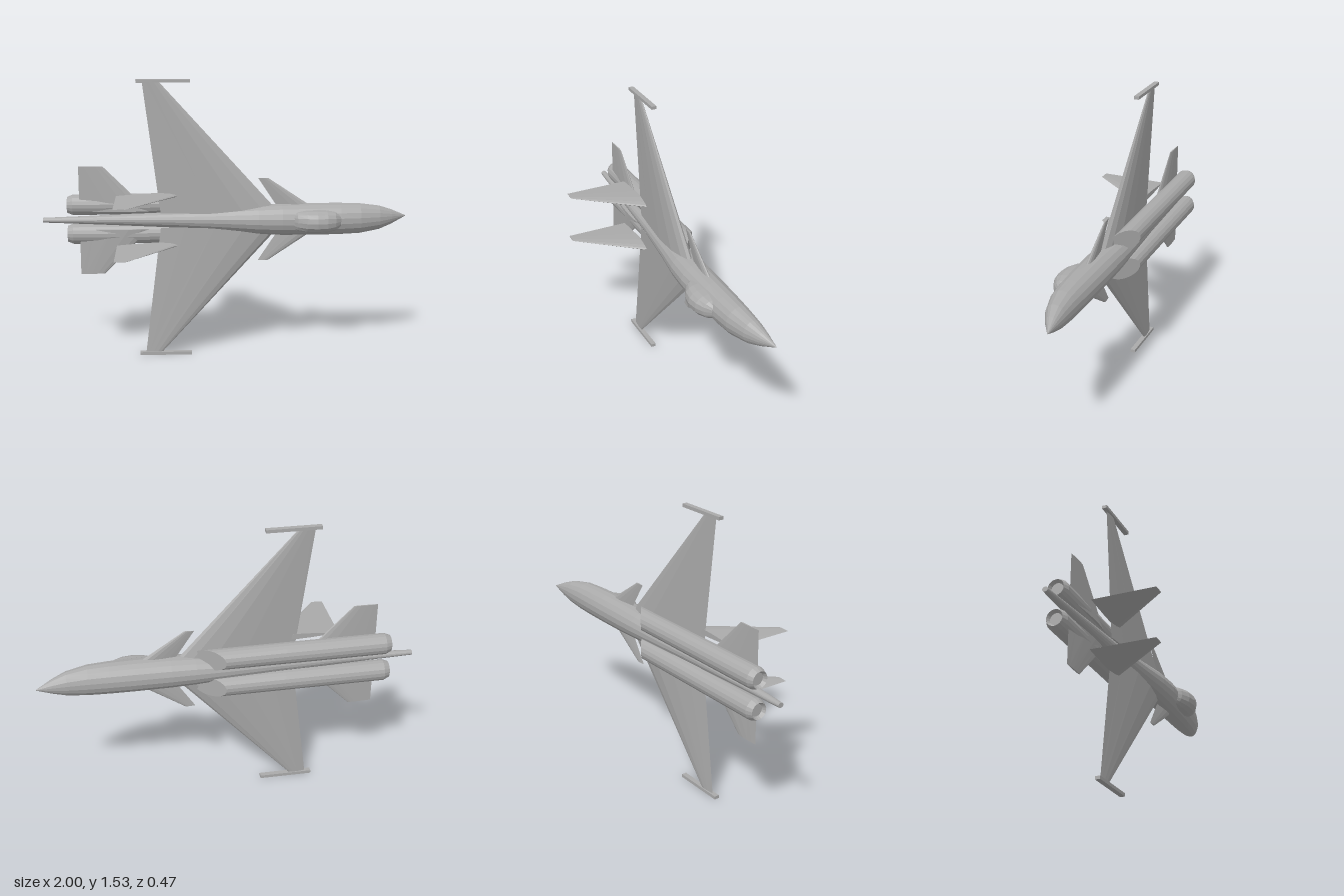
import * as THREE from 'three';

const CY = 0.766; // height of the plane's centre line; nose +x, upper side +z
const V = (x, y, z) => new THREE.Vector3(x, y, z);

// Skin a list of equal-sized rings and cap both ends; winding is fixed by volume sign
function loft(rings) {
  const tris = [];
  const n = rings[0].length;
  for (let i = 0; i < rings.length - 1; i++) {
    for (let j = 0; j < n; j++) {
      const k = (j + 1) % n;
      const a = rings[i][j], b = rings[i][k], c = rings[i + 1][k], d = rings[i + 1][j];
      tris.push([a, b, c], [a, c, d]);
    }
  }
  const cap = (ring, flip) => {
    const mid = ring.reduce((s, p) => s.add(p), V(0, 0, 0)).divideScalar(n);
    for (let j = 0; j < n; j++) {
      const a = ring[j], b = ring[(j + 1) % n];
      tris.push(flip ? [mid, b, a] : [mid, a, b]);
    }
  };
  cap(rings[0], true);
  cap(rings[rings.length - 1], false);
  const centre = rings[0][0];
  let volume = 0;
  for (const [a, b, c] of tris) {
    volume += a.clone().sub(centre).dot(b.clone().sub(centre).cross(c.clone().sub(centre)));
  }
  const points = tris.flatMap(([a, b, c]) => (volume < 0 ? [a, c, b] : [a, b, c]));
  const geo = new THREE.BufferGeometry().setFromPoints(points);
  geo.computeVertexNormals();
  return geo;
}

// Oval cross-section across x; power under 1 makes it boxier, slant shears it along x
function oval(x, y, z, ry, rz, sides = 18, power = 1, slant = 0) {
  const bulge = (v) => Math.sign(v) * Math.abs(v) ** power;
  return Array.from({ length: sides }, (_, i) => {
    const t = (i / sides) * Math.PI * 2;
    const s = bulge(Math.sin(t));
    return V(x + slant * s, y + ry * bulge(Math.cos(t)), z + rz * s);
  });
}

// Aerofoil outline: fraction of chord from the leading edge, fraction of half thickness
const FOIL = [[0, 0], [0.03, 0.4], [0.12, 0.8], [0.3, 1], [0.55, 0.78], [0.8, 0.38],
  [1, 0.03], [0.8, -0.38], [0.55, -0.78], [0.3, -1], [0.12, -0.8], [0.03, -0.4]];

// Section of a flying surface; place(x, offset) puts it in space
const foil = (lead, trail, thick, place) =>
  FOIL.map(([f, h]) => place(lead + (trail - lead) * f, (h * thick) / 2));

export function createModel() {
  const model = new THREE.Group();
  model.name = 'jetAircraft';
  const grey = new THREE.MeshStandardMaterial({ color: 0xaaaaaa });
  grey.name = 'airframe grey';
  grey.flatShading = true;
  const add = (name, geo) => {
    const mesh = new THREE.Mesh(geo, grey);
    mesh.name = name;
    model.add(mesh);
    return mesh;
  };

  // Fuselage: x, half width, lower z, upper z
  const body = [
    [-1, 0.013, -0.17, -0.14], [-0.74, 0.023, -0.175, -0.122], [-0.28, 0.044, -0.185, -0.09],
    [0, 0.064, -0.198, -0.059], [0.17, 0.08, -0.204, -0.036], [0.3, 0.086, -0.206, -0.028],
    [0.49, 0.088, -0.205, -0.034], [0.62, 0.087, -0.203, -0.042], [0.73, 0.083, -0.2, -0.055],
    [0.84, 0.066, -0.196, -0.088], [0.91, 0.041, -0.191, -0.124], [0.995, 0.002, -0.182, -0.178],
  ];
  add('fuselage', loft(body.map(([x, w, lo, hi]) => oval(x, CY, (lo + hi) / 2, w, (hi - lo) / 2))));

  // Canopy: x, half width, top z
  const glass = [[0.345, 0.035, -0.05], [0.38, 0.054, -0.012], [0.43, 0.061, 0.014],
    [0.485, 0.062, 0.024], [0.54, 0.06, 0.016], [0.585, 0.052, -0.006], [0.617, 0.032, -0.04]];
  add('canopy', loft(glass.map(([x, w, top]) => oval(x, CY, -0.065, w, top + 0.065, 16, 0.85))));

  for (const side of [1, -1]) {
    const label = side > 0 ? 'left' : 'right';

    // Engine with recessed nozzle, chamfered rear and slanted intake
    const ey = CY + side * 0.081;
    add(label + 'Engine', loft([
      oval(-0.85, ey, -0.171, 0.032, 0.032),
      oval(-0.868, ey, -0.171, 0.044, 0.044),
      oval(-0.837, ey, -0.172, 0.057, 0.057),
      oval(-0.3, ey, -0.175, 0.057, 0.057),
      oval(0.1, ey, -0.178, 0.056, 0.057, 18, 1, 0.08),
    ]));

    // Flat surfaces: rows of distance from centre line, leading x, trailing x, thickness
    const flat = (name, z, rows) => add(label + name, loft(rows.map(([out, lead, trail, thick]) =>
      foil(lead, trail, thick, (x, h) => V(x, CY + side * out, z + h)))));
    flat('Wing', -0.113, [[0.04, 0.285, -0.36, 0.068], [0.752, -0.36, -0.45, 0.012]]);
    flat('Canard', -0.118, [[0.04, 0.51, 0.295, 0.03], [0.23, 0.225, 0.17, 0.008]]);
    flat('Tailplane', -0.13, [[0.05, -0.42, -0.8, 0.03], [0.299, -0.67, -0.8, 0.008]]);

    // Upright fin: rows of z, leading x, trailing x, thickness
    const fin = [[-0.115, -0.26, -0.6, 0.032], [0.236, -0.537, -0.6, 0.004]];
    add(label + 'Fin', loft(fin.map(([z, lead, trail, thick]) =>
      foil(lead, trail, thick, (x, h) => V(x, CY + side * 0.138 + h, z)))));

    // Wingtip rail
    add(label + 'WingtipRail', new THREE.BoxGeometry(0.288, 0.017, 0.027))
      .position.set(-0.339, CY + side * 0.7575, -0.111);
  }
  return model;
}
